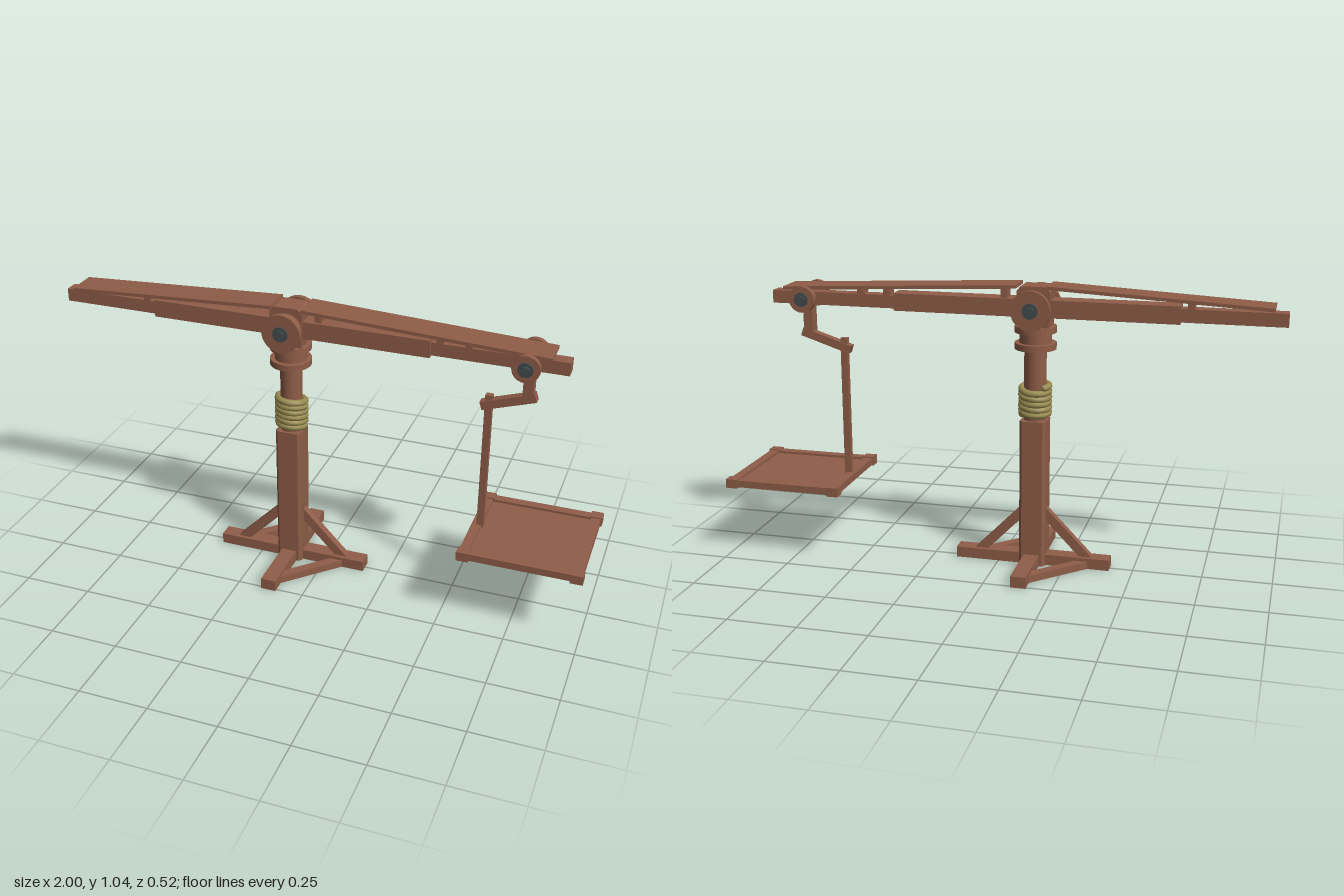
import * as THREE from 'three';

const mat = (name, color) => {
  const m = new THREE.MeshStandardMaterial({ color });
  m.name = name;
  return m;
};

export function createModel() {
  const root = new THREE.Group();
  root.name = 'balanceCrane';
  const wood = mat('wood', 0x8f5d48);
  const rope = mat('rope', 0x9a8d52);
  const metal = mat('darkMetal', 0x444d50);
  const PX = -0.13; // post axis

  const add = (name, geo, material, x = 0, y = 0, z = 0) => {
    const m = new THREE.Mesh(geo, material);
    m.name = name;
    m.position.set(x, y, z);
    root.add(m);
    return m;
  };
  // Box from its limits
  const box = (name, x0, x1, y0, y1, z0, z1, material = wood) =>
    add(name, new THREE.BoxGeometry(x1 - x0, y1 - y0, z1 - z0), material,
      (x0 + x1) / 2, (y0 + y1) / 2, (z0 + z1) / 2);
  // Bar between two points in a plane of constant z
  const bar = (name, x0, y0, x1, y1, thick, depth) => {
    const m = add(name, new THREE.BoxGeometry(Math.hypot(x1 - x0, y1 - y0), thick, depth), wood,
      (x0 + x1) / 2, (y0 + y1) / 2, 0);
    m.rotation.z = Math.atan2(y1 - y0, x1 - x0);
    return m;
  };
  // Disc with its axis along z
  const disc = (name, r, x, y, z0, z1, material = wood, sides = 24) => {
    const m = add(name, new THREE.CylinderGeometry(r, r, Math.abs(z1 - z0), sides), material, x, y, (z0 + z1) / 2);
    m.rotation.x = Math.PI / 2;
    return m;
  };

  // Crossed feet
  box('footLong', -0.415, 0.16, 0, 0.04, -0.028, 0.028);
  box('footCross', PX - 0.028, PX + 0.028, 0, 0.042, -0.26, 0.26);

  // Upright and ground braces
  for (const s of [-1, 1]) {
    bar('uprightBrace', PX + s * 0.215, 0.02, PX + s * 0.035, 0.205, 0.034, 0.028);
    const g = add('groundBrace', new THREE.BoxGeometry(0.28, 0.028, 0.034), wood, PX + s * 0.105, 0.014, s * 0.105);
    g.rotation.y = Math.PI / 4;
  }

  // Square post with chamfered corners
  const a = 0.048, c = 0.01;
  const section = new THREE.Shape([
    [-a + c, -a], [a - c, -a], [a, -a + c], [a, a - c],
    [a - c, a], [-a + c, a], [-a, a - c], [-a, -a + c],
  ].map(([x, y]) => new THREE.Vector2(x, y)));
  const post = add('post', new THREE.ExtrudeGeometry(section, { depth: 0.55, bevelEnabled: false }), wood, PX, 0, 0);
  post.rotation.x = -Math.PI / 2;

  // Round neck and collar rings
  const ring = (name, r, y0, y1) =>
    add(name, new THREE.CylinderGeometry(r, r, y1 - y0, 24), wood, PX, (y0 + y1) / 2, 0);
  ring('neck', 0.04, 0.54, 0.84);
  ring('lowerCollar', 0.075, 0.81, 0.833);
  ring('collarGroove', 0.058, 0.83, 0.872);
  ring('upperCollar', 0.075, 0.87, 0.893);

  // Rope winding, slightly tilted coils
  const turns = 5.6, pts = [];
  for (let i = 0; i <= 112; i++) {
    const t = i / 112, w = t * turns * Math.PI * 2;
    pts.push(new THREE.Vector3(PX + 0.049 * Math.cos(w),
      0.566 + 0.11 * t + 0.006 * Math.sin(w), 0.049 * Math.sin(w)));
  }
  add('ropeWinding', new THREE.TubeGeometry(new THREE.CatmullRomCurve3(pts), 220, 0.0125, 8), rope);
  for (const p of [pts[0], pts[112]]) add('ropeEnd', new THREE.SphereGeometry(0.0125, 8, 6), rope, p.x, p.y, p.z);

  // Pivot housing with chamfered top
  const h = new THREE.Shape([
    [-0.055, 0.885], [0.055, 0.885], [0.06, 1.02], [0.045, 1.037], [-0.045, 1.037], [-0.06, 1.02],
  ].map(([x, y]) => new THREE.Vector2(x, y)));
  add('pivotHousing', new THREE.ExtrudeGeometry(h, { depth: 0.09, bevelEnabled: false }), wood, PX, 0, -0.045);

  // Pivot cheeks, hanger pulleys and their bolts
  for (const s of [-1, 1]) {
    disc('pivotCheek', 0.058, PX, 0.96, s * 0.04, s * 0.082);
    disc('pivotDisc', 0.071, PX, 0.96, s * 0.078, s * 0.097);
    disc('pivotWasher', 0.028, PX, 0.96, s * 0.095, s * 0.103, metal, 16);
    disc('pivotBolt', 0.018, PX, 0.96, s * 0.1, s * 0.112, metal, 6);
    disc('hangerHub', 0.034, 0.72, 0.96, s * 0.02, s * 0.065);
    disc('hangerDisc', 0.048, 0.72, 0.96, s * 0.062, s * 0.083);
    disc('hangerWasher', 0.026, 0.72, 0.96, s * 0.082, s * 0.09, metal, 16);
    disc('hangerBolt', 0.017, 0.72, 0.96, s * 0.088, s * 0.1, metal, 6);
  }

  // Balance beam with thicker middle
  box('beam', -1, 0.855, 0.933, 0.98, -0.025, 0.025);
  box('beamMiddle', -0.64, 0.385, 0.927, 0.99, -0.036, 0.036);

  // Sloping cover planks and the spacers below them
  bar('leftCover', -0.955, 0.995, -0.18, 1.036, 0.012, 0.114);
  bar('rightCover', -0.07, 1.036, 0.80, 0.995, 0.012, 0.114);
  for (const [x, top] of [[-0.675, 1.005], [-0.02, 1.028], [0.415, 1.008], [0.515, 1.004]])
    box('coverSpacer', x - 0.012, x + 0.012, 0.97, top, -0.025, 0.025);

  // Jointed hanger
  box('hangerStrap', 0.705, 0.74, 0.815, 0.97, -0.021, 0.021);
  bar('hangerElbow', 0.565, 0.768, 0.75, 0.828, 0.03, 0.032);
  box('hangerRod', 0.578, 0.603, 0.27, 0.81, -0.011, 0.011);

  // Hanging platform: panel, edge rails and corner blocks
  box('platformPanel', 0.57, 0.985, 0.268, 0.284, -0.2, 0.2);
  for (const s of [-1, 1]) {
    const x = 0.776 + s * 0.198;
    box('sideRail', x - 0.017, x + 0.017, 0.267, 0.293, -0.2, 0.2);
    box('endRail', 0.57, 0.985, 0.267, 0.293, s * 0.191 - 0.017, s * 0.191 + 0.017);
    for (const k of [-1, 1])
      box('cornerBlock', x - 0.022, x + 0.022, 0.263, 0.297, k * 0.194 - 0.02, k * 0.194 + 0.02);
  }
  return root;
}
